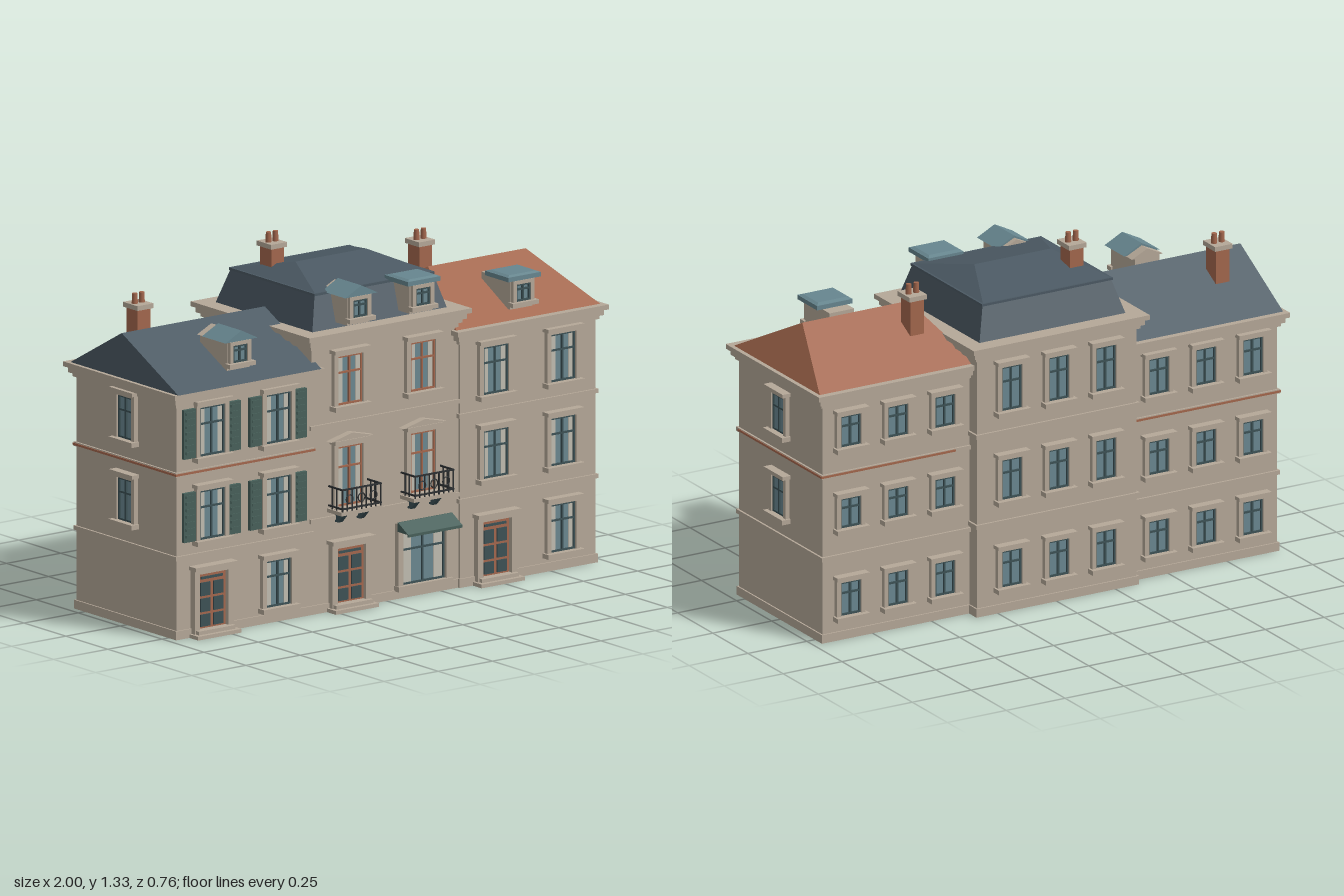
import * as THREE from 'three';

const mat = (name, color, side = THREE.FrontSide) => {
  const m = new THREE.MeshStandardMaterial({ color, side });
  m.name = name;
  return m;
};
const M = {
  stone: mat('stone', 0xb5a898),
  slate: mat('slate', 0x4b5963),
  brick: mat('terracotta', 0xa3674d),
  zinc: mat('zinc', 0x67868f),
  green: mat('shutter green', 0x47605a),
  iron: mat('iron', 0x2c2f31),
  glass: mat('glass', 0x6a8790),
  curtain: mat('curtain', 0xbfbcb0),
  frame: mat('dark frame', 0x3c5155),
};

function group(parent, name, x = 0, y = 0, z = 0, ry = 0) {
  const g = new THREE.Group();
  g.name = name;
  g.position.set(x, y, z);
  g.rotation.y = ry;
  parent.add(g);
  return g;
}
function add(parent, name, geo, m, x = 0, y = 0, z = 0) {
  const mesh = new THREE.Mesh(geo, m);
  mesh.name = name;
  mesh.position.set(x, y, z);
  parent.add(mesh);
  return mesh;
}
// Box given by its min and max on each axis
function box(parent, name, m, x0, x1, y0, y1, z0, z1) {
  return add(parent, name, new THREE.BoxGeometry(x1 - x0, y1 - y0, z1 - z0), m,
    (x0 + x1) / 2, (y0 + y1) / 2, (z0 + z1) / 2);
}
// Roof body between a lower and an upper rectangle; the upper one may be a ridge line
function roof(parent, name, m, [x0, x1, z0, z1, y0], [X0, X1, Z0, Z1, y1]) {
  const ring = (a, b, c, d, y) => [[a, d], [b, d], [b, c], [a, c]].map(([x, z]) => new THREE.Vector3(x, y, z));
  const b = ring(x0, x1, z0, z1, y0), t = ring(X0, X1, Z0, Z1, y1);
  const quads = [t, [b[3], b[2], b[1], b[0]]];
  for (let i = 0; i < 4; i++) { const j = (i + 1) % 4; quads.push([b[i], b[j], t[j], t[i]]); }
  const pos = [];
  for (const [p, q, r, s] of quads)
    for (const tri of [[p, q, r], [p, r, s]])
      if (new THREE.Triangle(...tri).getArea() > 1e-7) tri.forEach(v => pos.push(v.x, v.y, v.z));
  const g = new THREE.BufferGeometry();
  g.setAttribute('position', new THREE.Float32BufferAttribute(pos, 3));
  g.computeVertexNormals();
  return add(parent, name, g, m);
}

// Framed glazing, facing +z with its lower edge at y = 0
function glazing(g, w, h, bars, curtains) {
  box(g, 'glass', M.glass, -w / 2, w / 2, 0, h, 0, 0.004);
  const t = 0.007, z = 0.011;
  for (const s of [-1, 1]) {
    const c = s * (w / 2 - t / 2);
    box(g, 'frameSide', bars, c - t / 2, c + t / 2, 0, h, 0, z);
    const k = s * w * 0.36;
    if (curtains) box(g, 'curtain', M.curtain, k - w * 0.1, k + w * 0.1, 0, h, 0, 0.006);
  }
  box(g, 'mullion', bars, -t / 2, t / 2, 0, h, 0, z);
  for (const y of [0, h * 0.64, h - t]) box(g, 'frameRail', bars, -w / 2, w / 2, y, y + t, 0, z);
}
function surround(g, w, h, d = 0.018, t = 0.018) {
  for (const s of [-1, 1]) {
    const c = s * (w / 2 + t / 2);
    box(g, 'jamb', M.stone, c - t / 2, c + t / 2, 0, h, 0, d);
  }
  box(g, 'head', M.stone, -w / 2 - t, w / 2 + t, h, h + t * 0.7, 0, d);
  box(g, 'lintel', M.stone, -w / 2 - t - 0.008, w / 2 + t + 0.008, h + t * 0.7, h + t * 0.7 + 0.014, 0, d + 0.016);
}
function windowAt(parent, x, y, z, w, h, { ry = 0, bars = M.frame, curtains = false, shutters = false, pediment = false } = {}) {
  const g = group(parent, 'window', x, y, z, ry);
  glazing(g, w, h, bars, curtains);
  surround(g, w, h);
  box(g, 'sill', M.stone, -w / 2 - 0.026, w / 2 + 0.026, -0.018, 0, 0, 0.036);
  if (pediment) roof(g, 'pediment', M.stone, [-0.1, 0.1, 0, 0.03, h + 0.026], [0, 0, 0, 0.03, h + 0.05]);
  if (shutters) for (const s of [-1, 1]) {
    const c = s * (w / 2 + 0.046);
    box(g, 'shutter', M.green, c - 0.027, c + 0.027, 0, h, 0, 0.014);
    for (let i = 0; i < 7; i++) {
      const sy = h * (i + 0.7) / 7.5;
      box(g, 'shutterSlat', M.green, c - 0.02, c + 0.02, sy, sy + 0.01, 0.014, 0.018);
    }
  }
}
function door(parent, x, z) {
  const g = group(parent, 'door', x, 0, z);
  box(g, 'doorLeaf', M.brick, -0.065, 0.065, 0.02, 0.235, 0, 0.008);
  box(g, 'transom', M.frame, -0.05, 0.05, 0.213, 0.222, 0, 0.013);
  for (const s of [-1, 1]) for (const [y, h] of [[0.035, 0.045], [0.09, 0.05], [0.15, 0.05]])
    box(g, 'doorPanel', M.frame, s * 0.03 - 0.022, s * 0.03 + 0.022, y, y + h, 0, 0.013);
  surround(g, 0.13, 0.236, 0.025, 0.025);
  box(g, 'lowerStep', M.stone, -0.1, 0.1, 0, 0.014, 0, 0.058);
  box(g, 'upperStep', M.stone, -0.085, 0.085, 0.014, 0.028, 0, 0.042);
}
function balcony(parent, x, y, z) {
  const g = group(parent, 'balcony', x, y, z);
  box(g, 'slab', M.stone, -0.095, 0.095, -0.014, 0, 0, 0.085);
  for (const s of [-1, 1]) {
    roof(g, 'bracket', M.frame, [s * 0.05 - 0.01, s * 0.05 + 0.01, 0, 0.02, -0.055],
      [s * 0.05 - 0.01, s * 0.05 + 0.01, 0, 0.06, -0.014]);
    for (const ry of [0.008, 0.08]) box(g, 'sideRail', M.iron, s * 0.088 - 0.003, s * 0.088 + 0.003, ry, ry + 0.006, 0, 0.085);
    for (const pz of [0.02, 0.045]) box(g, 'sideBaluster', M.iron, s * 0.088 - 0.002, s * 0.088 + 0.002, 0, 0.08, pz, pz + 0.004);
  }
  for (const ry of [0.008, 0.08]) box(g, 'frontRail', M.iron, -0.091, 0.091, ry, ry + 0.006, 0.079, 0.085);
  for (let i = 0; i < 9; i++) {
    const c = -0.088 + i * 0.022;
    box(g, 'baluster', M.iron, c - 0.002, c + 0.002, 0, 0.08, 0.08, 0.084);
  }
  for (const c of [-0.055, 0, 0.055]) add(g, 'scroll', new THREE.TorusGeometry(0.016, 0.0025, 5, 14), M.iron, c, 0.045, 0.082);
}
function dormer(parent, x, y, z, depth, gabled) {
  const g = group(parent, 'dormer', x, y, z);
  box(g, 'dormerBody', M.stone, -0.052, 0.052, -0.01, 0.1, -depth, 0);
  const w = group(g, 'dormerWindow', 0, 0.018, 0);
  glazing(w, 0.066, 0.066, M.frame, false);
  for (const s of [-1, 1]) box(w, 'jamb', M.stone, s * 0.041 - 0.008, s * 0.041 + 0.008, 0, 0.07, 0, 0.016);
  box(w, 'head', M.stone, -0.049, 0.049, 0.066, 0.08, 0, 0.016);
  box(g, 'dormerSill', M.stone, -0.06, 0.06, 0.002, 0.018, 0, 0.028);
  if (gabled) {
    roof(g, 'dormerPediment', M.stone, [-0.066, 0.066, -depth, 0.012, 0.098], [0, 0, -depth, 0.012, 0.13]);
    roof(g, 'dormerRoof', M.zinc, [-0.075, 0.075, -0.12, 0.02, 0.1], [0, 0, -0.12, 0.02, 0.138]);
  } else {
    box(g, 'dormerRoof', M.zinc, -0.075, 0.075, 0.1, 0.117, -0.12, 0.02);
    roof(g, 'dormerRoofTop', M.zinc, [-0.072, 0.072, -0.117, 0.017, 0.117], [-0.06, 0.06, -0.1, 0.005, 0.122]);
  }
}
function chimney(parent, x, z, y0, cap) {
  const g = group(parent, 'chimney', x, 0, z);
  box(g, 'stack', M.brick, -0.029, 0.029, y0, cap, -0.034, 0.034);
  box(g, 'chimneyCap', M.stone, -0.037, 0.037, cap, cap + 0.018, -0.043, 0.043);
  for (const s of [-1, 1])
    add(g, 'chimneyPot', new THREE.CylinderGeometry(0.01, 0.012, 0.04, 10), M.brick, s * 0.016, cap + 0.036, 0);
}
// Walls, plinth, floor bands and stepped cornice of one house
function house(root, name, [x0, x1, z0, z1], top, bands, accent) {
  const g = group(root, name);
  const ring = (n, m, o, a, b) => box(g, n, m, x0 - o, x1 + o, a, b, z0 - o, z1 + o);
  ring('walls', M.stone, 0, 0, top - 0.02);
  ring('plinth', M.stone, 0.006, 0, 0.033);
  bands.forEach(y => ring('floorBand', M.stone, 0.008, y - 0.008, y + 0.008));
  if (accent) ring('accentBand', M.brick, 0.011, bands[1] - 0.004, bands[1] + 0.004);
  ring('frieze', M.stone, 0.01, top - 0.055, top - 0.04);
  ring('lowerCornice', M.stone, 0.022, top - 0.04, top - 0.018);
  ring('cornice', M.stone, 0.035, top - 0.018, top);
  return g;
}

export function createModel() {
  const root = new THREE.Group();
  root.name = 'townhouseRow';

  // Right-hand end of the row as seen from the front: terracotta hipped roof
  const a = house(root, 'hippedHouse', [0.335, 0.96, -0.295, 0.3], 0.97, [0.325, 0.645], false);
  box(a, 'accentBand', M.brick, 0.4, 0.971, 0.642, 0.65, -0.306, 0.29);
  roof(a, 'hippedRoof', M.brick, [0.315, 0.978, -0.305, 0.305, 0.97], [0.42, 0.87, 0, 0, 1.135]);
  door(a, 0.49, 0.3);
  for (const [x, y, h] of [[0.8, 0.07, 0.18], [0.49, 0.395, 0.18], [0.8, 0.395, 0.18], [0.49, 0.71, 0.18], [0.8, 0.71, 0.18]])
    windowAt(a, x, y, 0.3, 0.115, h, { curtains: true });
  for (const y of [0.41, 0.73]) windowAt(a, 0.96, y, 0, 0.085, 0.142, { ry: Math.PI / 2 });
  dormer(a, 0.645, 1.008, 0.265, 0.17, false);
  chimney(a, 0.468, -0.11, 1.05, 1.192);

  // Middle house: slate mansard, balconies and shop front
  const b = house(root, 'mansardHouse', [-0.343, 0.335, -0.348, 0.291], 1.05, [0.35, 0.7], false);
  roof(b, 'mansardSlope', M.slate, [-0.313, 0.307, -0.318, 0.258, 1.05], [-0.275, 0.27, -0.278, 0.222, 1.178]);
  box(b, 'mansardCurb', M.slate, -0.28, 0.275, 1.174, 1.183, -0.283, 0.227);
  roof(b, 'mansardTop', M.slate, [-0.272, 0.267, -0.275, 0.219, 1.183], [-0.168, 0.157, -0.03, -0.03, 1.237]);
  door(b, -0.175, 0.291);
  for (const x of [-0.175, 0.16]) {
    windowAt(b, x, 0.39, 0.291, 0.115, 0.225, { bars: M.brick, curtains: true, pediment: true });
    windowAt(b, x, 0.77, 0.291, 0.115, 0.185, { bars: M.brick, curtains: true });
    balcony(b, x, 0.388, 0.291);
  }
  dormer(b, -0.15, 1.08, 0.32, 0.14, true);
  dormer(b, 0.14, 1.08, 0.32, 0.14, false);
  chimney(b, -0.193, -0.138, 1.16, 1.278);
  const shop = group(b, 'shopFront', 0.163, 0.05, 0.291);
  glazing(shop, 0.2, 0.2, M.frame, true);
  for (const s of [-1, 1]) box(shop, 'shopJamb', M.stone, s * 0.11 - 0.011, s * 0.11 + 0.011, -0.02, 0.22, 0, 0.022);
  box(shop, 'shopSill', M.stone, -0.125, 0.125, -0.02, 0, 0, 0.03);
  box(shop, 'shopHead', M.stone, -0.121, 0.121, 0.2, 0.235, 0, 0.022);
  roof(shop, 'awning', M.green, [-0.125, 0.125, 0.02, 0.085, 0.207], [-0.125, 0.125, 0.02, 0.024, 0.242]);
  box(shop, 'awningValance', M.green, -0.125, 0.125, 0.198, 0.208, 0.081, 0.086);

  // Left-hand end as seen from the front: slate gable roof and shutters
  const c = house(root, 'gabledHouse', [-0.965, -0.343, -0.305, 0.291], 0.928, [0.305, 0.62], true);
  roof(c, 'gabledRoof', M.slate, [-0.985, -0.325, -0.315, 0.328, 0.928], [-0.985, -0.325, -0.01, -0.01, 1.097]);
  door(c, -0.81, 0.291);
  windowAt(c, -0.505, 0.06, 0.291, 0.115, 0.175, { curtains: true });
  for (const x of [-0.81, -0.505]) for (const y of [0.362, 0.675])
    windowAt(c, x, y, 0.291, 0.115, 0.185, { curtains: true, shutters: true });
  for (const y of [0.39, 0.7]) windowAt(c, -0.965, y, 0, 0.085, 0.16, { ry: -Math.PI / 2 });
  dormer(c, -0.655, 0.975, 0.258, 0.16, true);
  chimney(c, -0.825, -0.118, 1.0, 1.148);

  // Rear windows, three columns and three rows on each house
  const rears = [
    [a, 0.648, -0.295, [[0.095, 0.13], [0.435, 0.115], [0.75, 0.12]]],
    [b, -0.004, -0.348, [[0.1, 0.14], [0.44, 0.155], [0.785, 0.17]]],
    [c, -0.654, -0.305, [[0.09, 0.13], [0.4, 0.13], [0.71, 0.14]]],
  ];
  for (const [g, cx, z, rows] of rears) for (const i of [-1, 0, 1]) for (const [y, h] of rows)
    windowAt(g, cx + i * 0.2, y, z, 0.085, h, { ry: Math.PI });

  return root;
}
